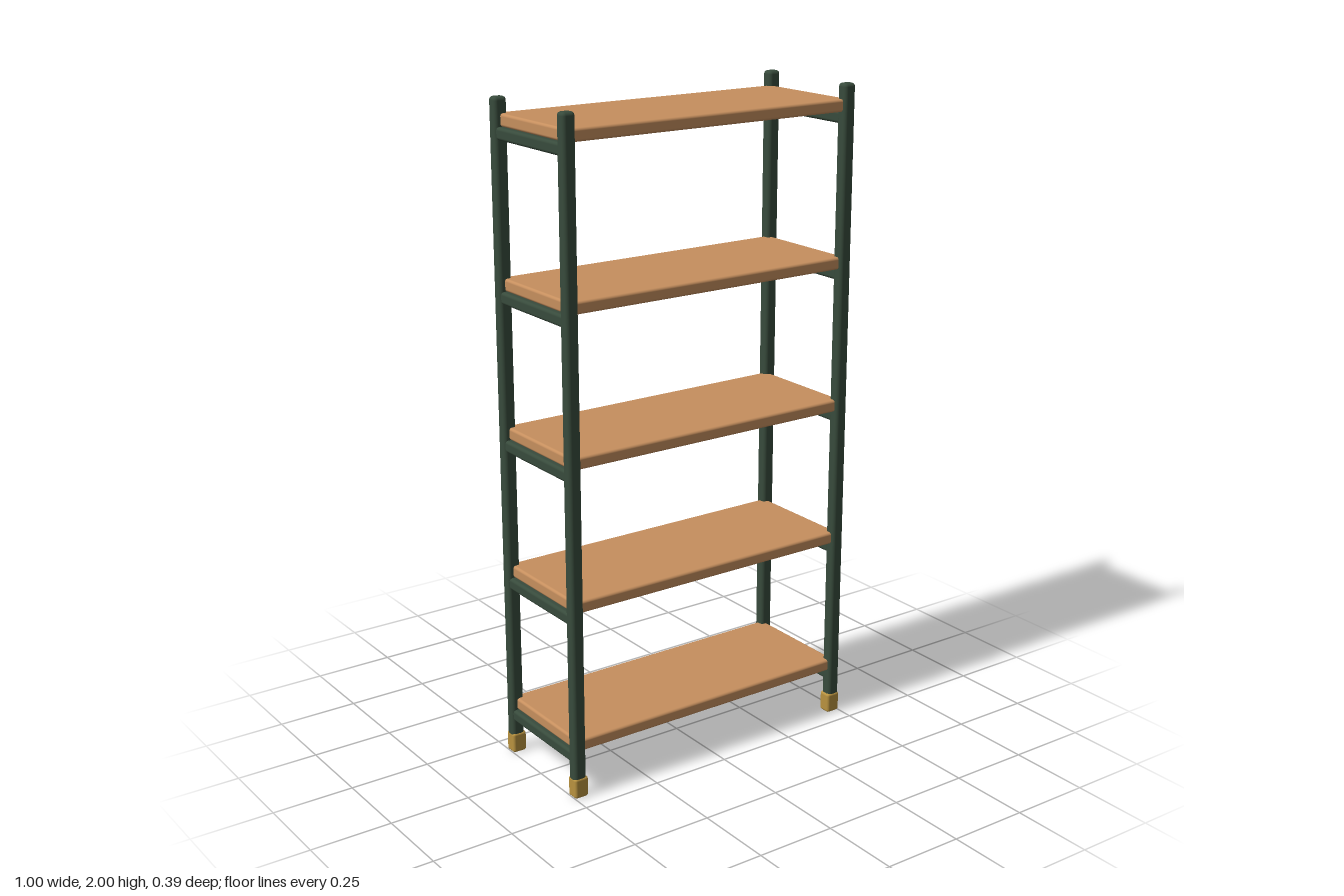
import * as THREE from 'three';
import { RoundedBoxGeometry } from 'three/addons/geometries/RoundedBoxGeometry.js';

const wood = new THREE.MeshStandardMaterial({ name: 'warm wood', color: 0xc68f5e });
const green = new THREE.MeshStandardMaterial({ name: 'dark green metal', color: 0x384b3c });
const brass = new THREE.MeshStandardMaterial({ name: 'brass', color: 0xb8923f });

const POST_X = 0.48, POST_Z = 0.175;
const SHELF_THICKNESS = 0.037, RAIL_HEIGHT = 0.036;

// Box with rounded edges, placed by its centre
function roundedBox(name, size, radius, material, position) {
  const mesh = new THREE.Mesh(new RoundedBoxGeometry(...size, 3, radius), material);
  mesh.name = name;
  mesh.position.set(...position);
  return mesh;
}

export function createModel() {
  const model = new THREE.Group();
  model.name = 'shelvingUnit';

  // Four corner posts standing on brass feet
  for (const sx of [-1, 1]) {
    for (const sz of [-1, 1]) {
      const x = sx * POST_X, z = sz * POST_Z;
      model.add(roundedBox('post', [0.041, 1.95, 0.036], 0.011, green, [x, 1.025, z]));
      model.add(roundedBox('foot', [0.046, 0.064, 0.041], 0.008, brass, [sx * 0.478, 0.032, z]));
    }
  }

  // Shelves, each resting on a rail at either end
  for (const top of [0.18, 0.614, 1.045, 1.488, 1.954]) {
    const bottom = top - SHELF_THICKNESS;
    model.add(roundedBox('shelf', [0.966, SHELF_THICKNESS, 0.366], 0.008, wood,
      [0, top - SHELF_THICKNESS / 2, 0]));
    for (const sx of [-1, 1]) {
      model.add(roundedBox('sideRail', [0.032, RAIL_HEIGHT, 2 * POST_Z], 0.009, green,
        [sx * POST_X, bottom - RAIL_HEIGHT / 2, 0]));
    }
  }
  return model;
}
